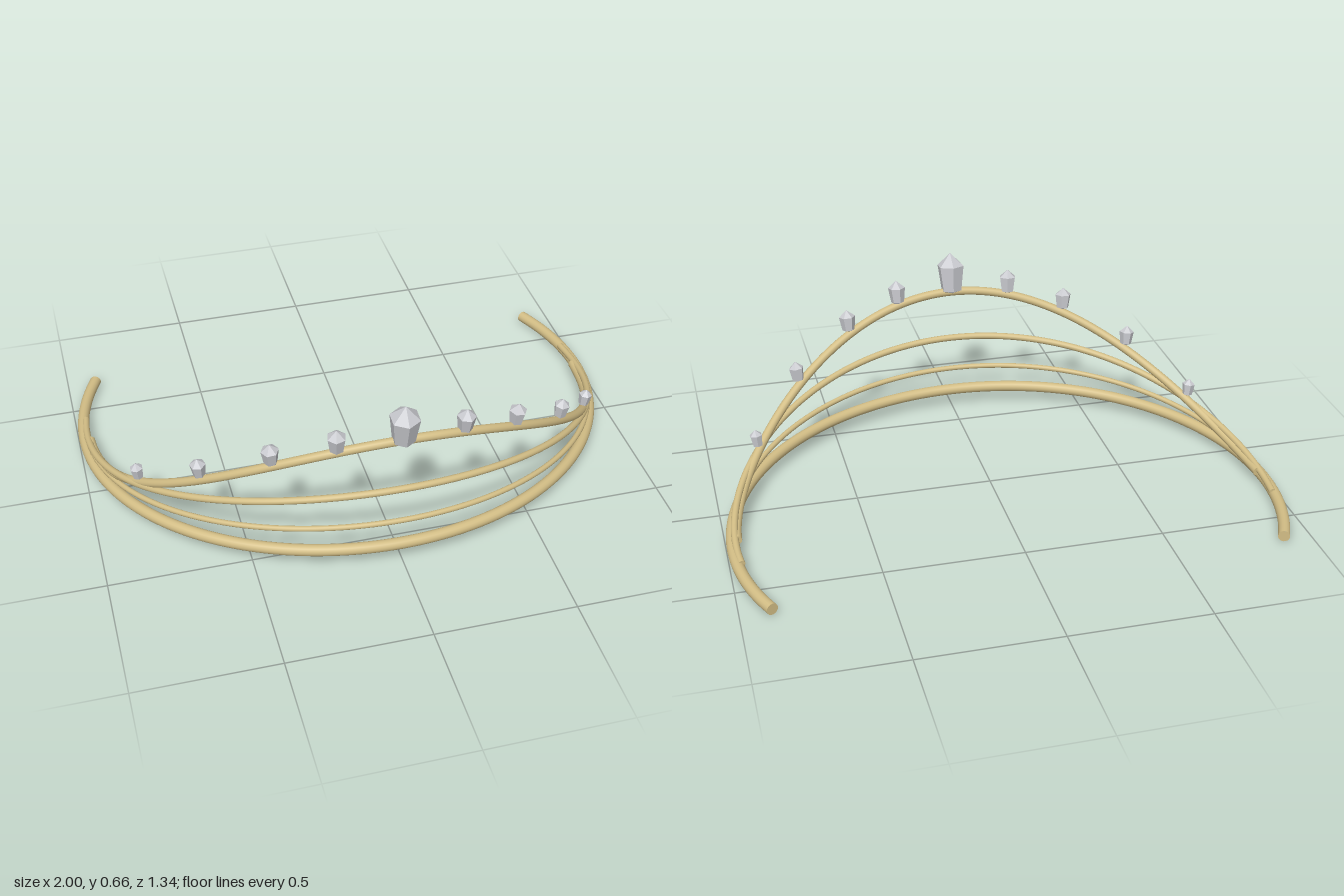
import * as THREE from 'three';

const DEG = Math.PI / 180;
const CENTRE_Z = -0.28;

// Point on an elliptical strand that rises toward the front (angle 0 = front)
function strandPoint(s, a) {
  const rise = Math.pow(Math.max(0, Math.cos((a / s.end) * Math.PI / 2)), s.power);
  return new THREE.Vector3(
    s.rx * Math.sin(a * DEG),
    s.low + (s.high - s.low) * rise,
    CENTRE_Z + s.rz * Math.cos(a * DEG)
  );
}

const STRANDS = [
  { name: 'baseBand', rx: 0.979, rz: 0.905, low: 0.0215, high: 0.074, end: 114.3, power: 2, r: 0.021 },
  { name: 'lowerStrand', rx: 0.97, rz: 0.9, low: 0.038, high: 0.172, end: 97, power: 1.5, r: 0.01 },
  { name: 'middleStrand', rx: 0.968, rz: 0.897, low: 0.038, high: 0.308, end: 97, power: 1.6, r: 0.0125 },
  { name: 'topArch', rx: 0.96, rz: 0.89, low: 0.045, high: 0.51, end: 88, power: 2, r: 0.016 },
];

// Angle, tip height, gem height, gem radius
const GEMS = [
  [0, 0.665, 0.165, 0.053],
  [13.2, 0.585, 0.095, 0.033],
  [26.3, 0.515, 0.087, 0.031],
  [42.2, 0.39, 0.08, 0.028],
  [59.9, 0.24, 0.07, 0.024],
];

export function createModel() {
  const group = new THREE.Group();
  const gold = new THREE.MeshStandardMaterial({ color: 0xd2bd85 });
  gold.name = 'pale gold';
  const crystal = new THREE.MeshStandardMaterial({ color: 0xcacbd0, flatShading: true });
  crystal.name = 'clear crystal';

  // Curved wires with flat end caps
  for (const s of STRANDS) {
    const points = [];
    for (let i = 0; i <= 48; i++) points.push(strandPoint(s, s.end * (i / 24 - 1)));
    const curve = new THREE.CatmullRomCurve3(points);
    const strand = new THREE.Group();
    strand.name = s.name;
    const wire = new THREE.Mesh(new THREE.TubeGeometry(curve, 128, s.r, 16), gold);
    wire.name = s.name + 'Wire';
    strand.add(wire);
    for (const t of [0, 1]) {
      const cap = new THREE.Mesh(new THREE.CircleGeometry(s.r, 16), gold);
      const outward = curve.getTangent(t).multiplyScalar(t ? 1 : -1);
      cap.name = s.name + 'EndCap';
      cap.position.copy(curve.getPoint(t));
      cap.quaternion.setFromUnitVectors(new THREE.Vector3(0, 0, 1), outward);
      strand.add(cap);
    }
    group.add(strand);
  }

  // Six-sided pointed gems along the top arch, leaning slightly outward
  const arch = STRANDS[3];
  const addGem = (angle, tip, h, r) => {
    const profile = [[0, 0], [0.76 * r, 0.1 * h], [r, 0.7 * h], [0, h]];
    const gem = new THREE.Mesh(
      new THREE.LatheGeometry(profile.map(([x, y]) => new THREE.Vector2(x, y)), 6), crystal);
    gem.name = angle === 0 ? 'centreGem' : 'sideGem';
    const p = strandPoint(arch, angle);
    gem.position.set(p.x, tip - h, p.z);
    gem.rotation.order = 'YXZ';
    gem.rotation.set(0.13, Math.atan2(p.x, p.z - CENTRE_Z), 0);
    group.add(gem);
  };
  for (const [angle, tip, h, r] of GEMS) {
    addGem(angle, tip, h, r);
    if (angle) addGem(-angle, tip, h, r);
  }
  return group;
}
